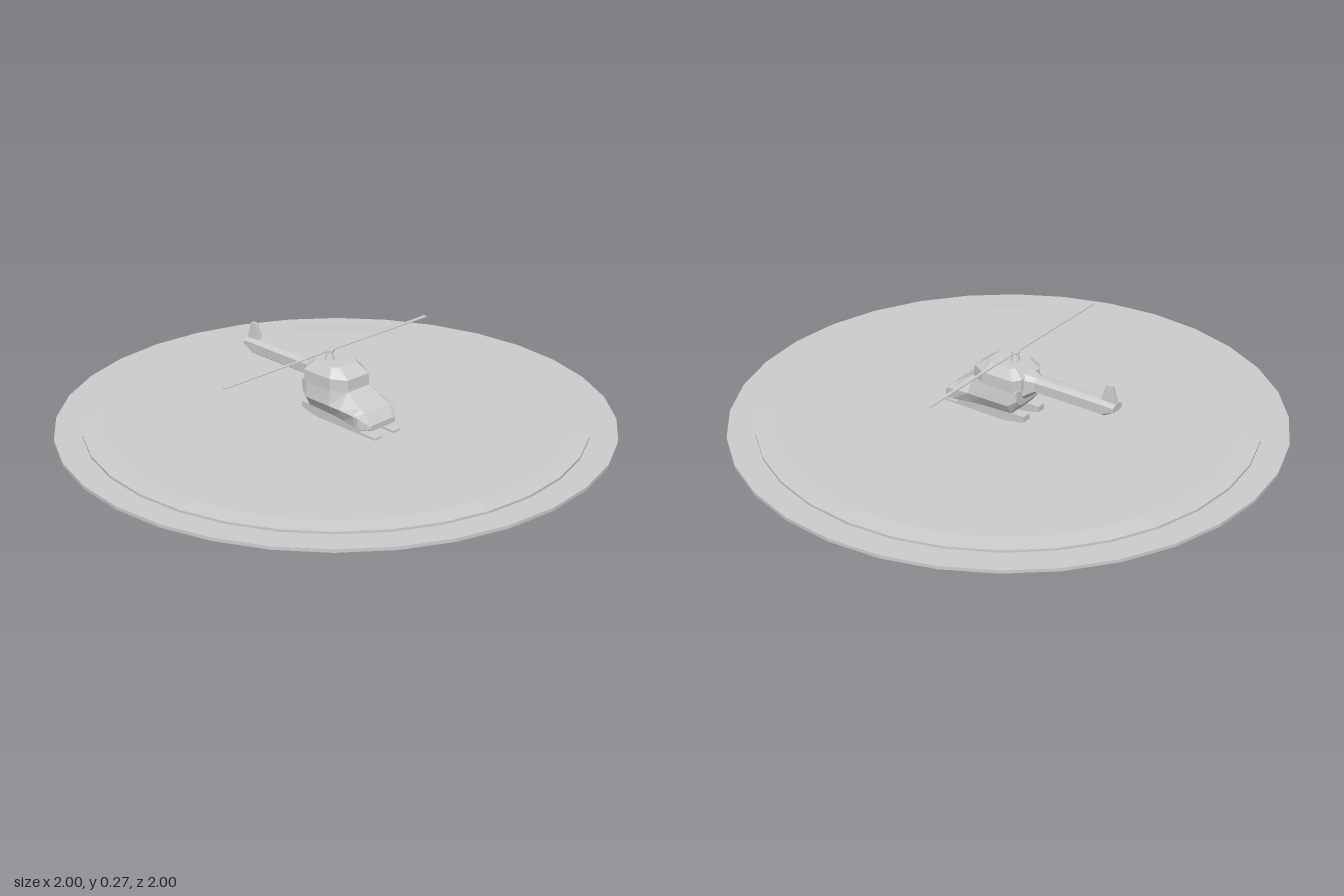
import * as THREE from 'three';

const material = new THREE.MeshStandardMaterial({ color: 0xcccccc, flatShading: true });

function addMesh(parent, name, geometry) {
  const mesh = new THREE.Mesh(geometry, material);
  mesh.name = name;
  parent.add(mesh);
  return mesh;
}

// Mirrors half a cross-section, listed on the +x side, into a closed ring.
function ring(half, place) {
  const mirrored = half.map(([x, v]) => [-x, v]).reverse();
  return [...half, ...mirrored].map(place);
}
const ringZ = (z, half) => ring(half, ([x, y]) => [x, y, z]);
const ringY = (y, half) => ring(half, ([x, z]) => [x, y, z]);

// Skins rings (front to back, or top to bottom) and caps both ends.
function loft(rings) {
  const n = rings[0].length;
  const index = [];
  for (let i = 0; i < rings.length - 1; i++) {
    for (let j = 0; j < n; j++) {
      const k = (j + 1) % n;
      const a = i * n, b = a + n;
      index.push(b + j, b + k, a + j, b + k, a + k, a + j);
    }
  }
  const last = (rings.length - 1) * n;
  for (let j = 1; j < n - 1; j++) {
    index.push(0, j, j + 1, last, last + j + 1, last + j);
  }
  const geometry = new THREE.BufferGeometry();
  geometry.setAttribute('position', new THREE.Float32BufferAttribute(rings.flat(2), 3));
  geometry.setIndex(index);
  geometry.computeVertexNormals();
  return geometry;
}

export function createModel() {
  const model = new THREE.Group();
  model.name = 'helicopterOnPad';

  // Landing pad: wide disc with a slightly raised inner disc
  const padProfile = [[0, 0], [1, 0], [1, 0.012], [0.9, 0.012], [0.9, 0.021], [0.83, 0.026], [0, 0.026]];
  addMesh(model, 'landingPad',
    new THREE.LatheGeometry(padProfile.map(([x, y]) => new THREE.Vector2(x, y)), 32));

  const helicopter = new THREE.Group();
  helicopter.name = 'helicopter';
  model.add(helicopter);

  // Hull: blunt nose, sloping hood, undercut belly
  addMesh(helicopter, 'hull', loft([
    ringZ(0.232, [[0.055, 0.052], [0.06, 0.056], [0.06, 0.065], [0.055, 0.072]]),
    ringZ(0.2, [[0.07, 0.05], [0.094, 0.06], [0.094, 0.1], [0.06, 0.108]]),
    ringZ(0.18, [[0.065, 0.05], [0.09, 0.06], [0.095, 0.102], [0.058, 0.12]]),
    ringZ(0.112, [[0.06, 0.055], [0.075, 0.06], [0.095, 0.105], [0.052, 0.162]]),
    ringZ(0.06, [[0.06, 0.058], [0.07, 0.062], [0.095, 0.105], [0.085, 0.162]]),
    ringZ(-0.06, [[0.06, 0.064], [0.07, 0.067], [0.093, 0.105], [0.085, 0.162]]),
    ringZ(-0.09, [[0.05, 0.1], [0.06, 0.105], [0.08, 0.125], [0.08, 0.162]]),
  ]));

  // Cabin: upright windows under a sloping roof
  addMesh(helicopter, 'cabin', loft([
    ringY(0.235, [[0.04, 0.06], [0.06, 0.035], [0.06, -0.05], [0.045, -0.062]]),
    ringY(0.203, [[0.052, 0.11], [0.085, 0.055], [0.085, -0.075], [0.055, -0.095]]),
    ringY(0.158, [[0.052, 0.114], [0.086, 0.058], [0.086, -0.075], [0.055, -0.095]]),
  ]));

  // Tail boom: flares into the cabin, tapers at the end
  const boom = [[0.012, 0.145], [0.03, 0.157], [0.03, 0.192], [0.012, 0.202]];
  addMesh(helicopter, 'tailBoom', loft([
    ringZ(-0.07, [[0.03, 0.1], [0.055, 0.12], [0.055, 0.2], [0.03, 0.215]]),
    ringZ(-0.13, boom),
    ringZ(-0.41, boom),
    ringZ(-0.455, [[0.012, 0.172], [0.028, 0.177], [0.028, 0.19], [0.012, 0.2]]),
  ]));
  addMesh(helicopter, 'tailFin', loft([
    ringY(0.26, [[0.006, -0.41], [0.006, -0.437]]),
    ringY(0.195, [[0.012, -0.393], [0.012, -0.453]]),
  ]));

  // Skids: flat toe, block under the belly, raised heel
  const skidSide = new THREE.Shape([
    [0.255, 0.026], [0.255, 0.033], [0.18, 0.035], [0.18, 0.06], [0, 0.066],
    [-0.11, 0.064], [-0.11, 0.042], [-0.03, 0.026],
  ].map(([z, y]) => new THREE.Vector2(-z, y)));
  for (const side of [-1, 1]) {
    const geometry = new THREE.ExtrudeGeometry(skidSide, { depth: 0.036, bevelEnabled: false });
    geometry.translate(0, 0, -0.018).rotateY(Math.PI / 2);
    const skid = addMesh(helicopter, side > 0 ? 'leftSkid' : 'rightSkid', geometry);
    skid.position.x = side * 0.046;
  }

  // Mast, hub and two thin tapering blades
  const rotor = new THREE.Group();
  rotor.name = 'rotor';
  rotor.position.set(-0.007, 0, -0.025);
  rotor.rotation.y = -0.01;
  helicopter.add(rotor);
  addMesh(rotor, 'mast', new THREE.CylinderGeometry(0.009, 0.02, 0.034, 8)).position.y = 0.248;
  addMesh(rotor, 'hub', new THREE.CylinderGeometry(0.016, 0.016, 0.007, 8)).position.y = 0.266;
  for (const side of [-1, 1]) {
    const geometry = new THREE.BoxGeometry(0.49, 0.004, 0.014);
    geometry.translate(0.245, 0, 0);
    const p = geometry.attributes.position;
    for (let i = 0; i < p.count; i++) {
      if (p.getX(i) < 0.1) p.setZ(i, p.getZ(i) * 0.6);
    }
    geometry.computeVertexNormals();
    const blade = addMesh(rotor, side > 0 ? 'leftBlade' : 'rightBlade', geometry);
    blade.position.y = 0.266;
    blade.rotation.y = side > 0 ? 0 : Math.PI;
  }
  return model;
}
